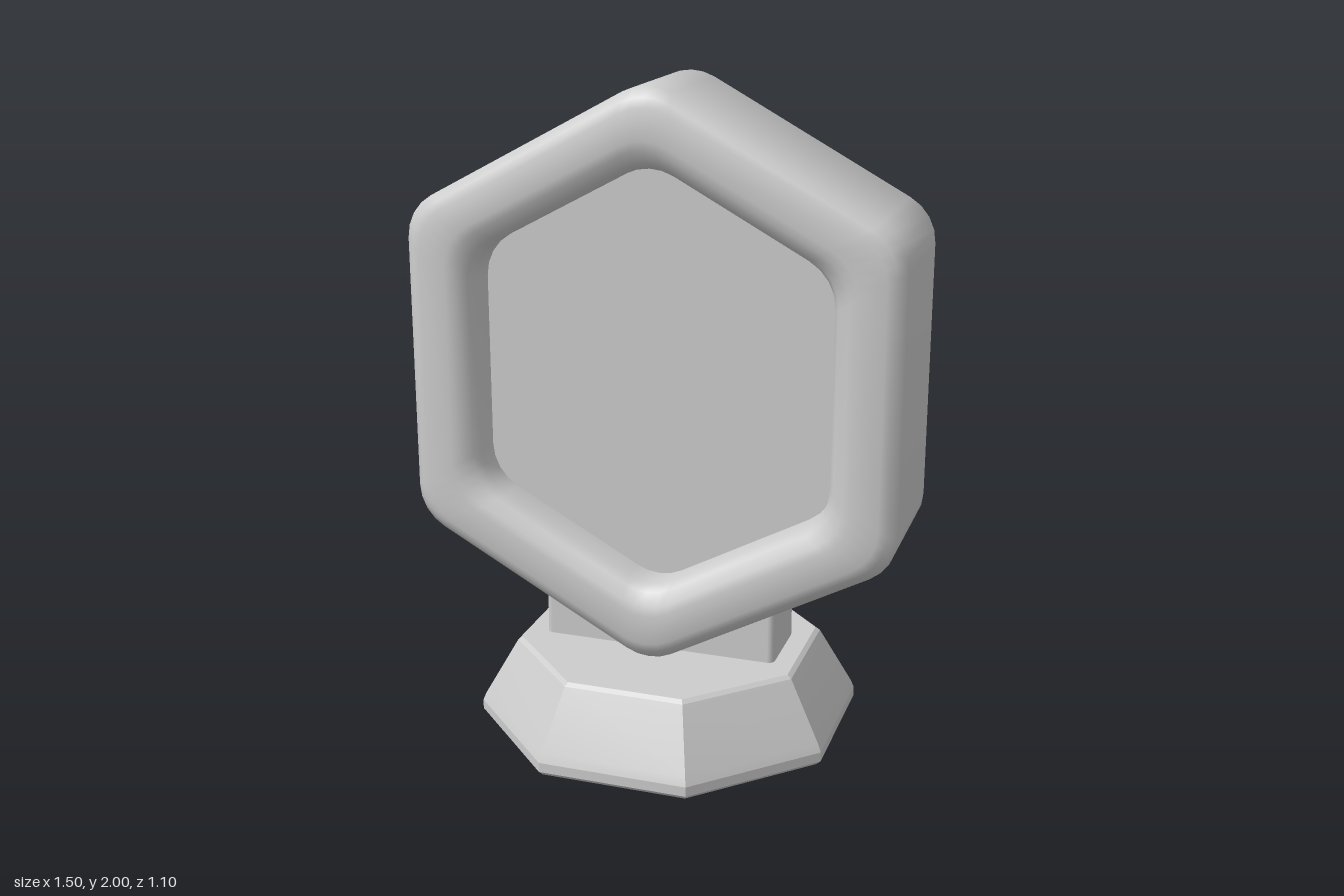
import * as THREE from 'three';
import { toCreasedNormals } from 'three/addons/utils/BufferGeometryUtils.js';
import { RoundedBoxGeometry } from 'three/addons/geometries/RoundedBoxGeometry.js';

const CENTRE_Y = 1.133;

// Upright hexagon with filleted corners, shrunk by an inset, counterclockwise
function hexLoop(inset) {
  const slope = 0.543, w = 0.75 - inset, h = 0.885 - inset * 1.138, s = h - slope * w;
  const corners = [[w, -s], [w, s], [0, h], [-w, s], [-w, -s], [0, -h]].map(p => new THREE.Vector2(...p));
  const points = [], steps = 4;
  corners.forEach((c, i) => {
    const a = corners[(i + 5) % 6].clone().sub(c).normalize();
    const b = corners[(i + 1) % 6].clone().sub(c).normalize();
    const half = a.angleTo(b) / 2, r = 0.15;
    const mid = a.clone().add(b).normalize();
    const o = c.clone().addScaledVector(mid, r / Math.sin(half));
    const sweep = Math.PI - 2 * half, start = Math.atan2(-mid.y, -mid.x) - sweep / 2;
    for (let k = 0; k <= steps; k++) {
      const t = start + sweep * k / steps;
      points.push([o.x + r * Math.cos(t), o.y + r * Math.sin(t)]);
    }
  });
  return points;
}

// Thick hexagonal frame with a recessed panel on both faces
function frameGeometry() {
  const half = [[0.205, 0.1], [0.205, 0.185], [0.19, 0.215], [0.155, 0.24], [0.13, 0.245],
    [0.05, 0.245], [0.025, 0.232], [0, 0.205]];
  const profile = [...half, ...half.slice().reverse().map(([i, z]) => [i, -z])];
  const pos = [], index = [];
  profile.forEach(([inset, z]) => hexLoop(inset).forEach(([x, y]) => pos.push(x, y, z)));
  const n = hexLoop(0).length, rows = profile.length;
  for (let i = 0; i < rows - 1; i++) {
    for (let j = 0; j < n; j++) {
      const a = i * n + j, b = i * n + (j + 1) % n;
      index.push(a, a + n, b, b, a + n, b + n);
    }
  }
  // recessed panels
  const front = pos.length / 3, last = (rows - 1) * n;
  pos.push(0, 0, 0.1, 0, 0, -0.1);
  for (let j = 0; j < n; j++) {
    const k = (j + 1) % n;
    index.push(front, j, k, front + 1, last + k, last + j);
  }
  const g = new THREE.BufferGeometry();
  g.setAttribute('position', new THREE.Float32BufferAttribute(pos, 3));
  g.setIndex(index);
  return toCreasedNormals(g, 0.9);
}

// Eight-sided foot with sloping sides
function baseGeometry() {
  const k = 1 / Math.cos(Math.PI / 8);
  const profile = [[0, 0], [0.535, 0], [0.55, 0.015], [0.55, 0.045], [0.54, 0.07],
    [0.443, 0.25], [0.43, 0.26], [0, 0.26]].map(([r, y]) => new THREE.Vector2(r * k, y));
  return toCreasedNormals(new THREE.LatheGeometry(profile, 8, Math.PI / 8), 0.3);
}

// Shield outline points, scaled about its middle
const SIDE = [[0.17, 0.26], [0.335, 0.22], [0.335, 0.08], [0.31, -0.05], [0.265, -0.17], [0.19, -0.29], [0.09, -0.385]];
function shieldPoints(scale) {
  const left = SIDE.slice().reverse().map(([x, y]) => [-x, y]);
  return [[0, 0.345], ...SIDE, [0, -0.435], ...left].map(([x, y]) => new THREE.Vector2(x * scale, y * scale));
}

function extrude(shape, depth, bevel) {
  return new THREE.ExtrudeGeometry(shape, {
    depth: depth - bevel, bevelEnabled: true, bevelThickness: bevel, bevelSize: bevel, bevelOffset: -bevel, bevelSegments: 1,
  });
}

export function createModel() {
  const model = new THREE.Group();
  const stone = new THREE.MeshStandardMaterial({ color: 0xcccccc });
  stone.name = 'pale grey';
  const add = (name, geometry, parent = model) => {
    const mesh = new THREE.Mesh(geometry, stone);
    mesh.name = name;
    parent.add(mesh);
    return mesh;
  };

  add('base', baseGeometry());
  add('stem', new RoundedBoxGeometry(0.74, 0.26, 0.24, 2, 0.02)).position.y = 0.33;
  add('hexagonFrame', frameGeometry()).position.y = CENTRE_Y;

  // Raised shield on the back panel
  const shield = new THREE.Group();
  shield.name = 'backShield';
  shield.position.set(0, CENTRE_Y, -0.1);
  shield.rotation.y = Math.PI;
  model.add(shield);

  const rim = new THREE.Shape(shieldPoints(1));
  rim.holes.push(new THREE.Path(shieldPoints(0.8)));
  add('shieldRim', extrude(rim, 0.06, 0.012), shield);

  // Plain half panel inside the rim
  const halfPanel = new THREE.Shape([[0.02, 0.2], [0.02, -0.31], [-0.06, -0.25], [-0.13, -0.18],
    [-0.18, -0.09], [-0.21, 0.01], [-0.225, 0.13], [-0.2, 0.15], [-0.12, 0.16]].map(p => new THREE.Vector2(...p)));
  add('shieldHalfPanel', extrude(halfPanel, 0.045, 0.01), shield);

  return model;
}
